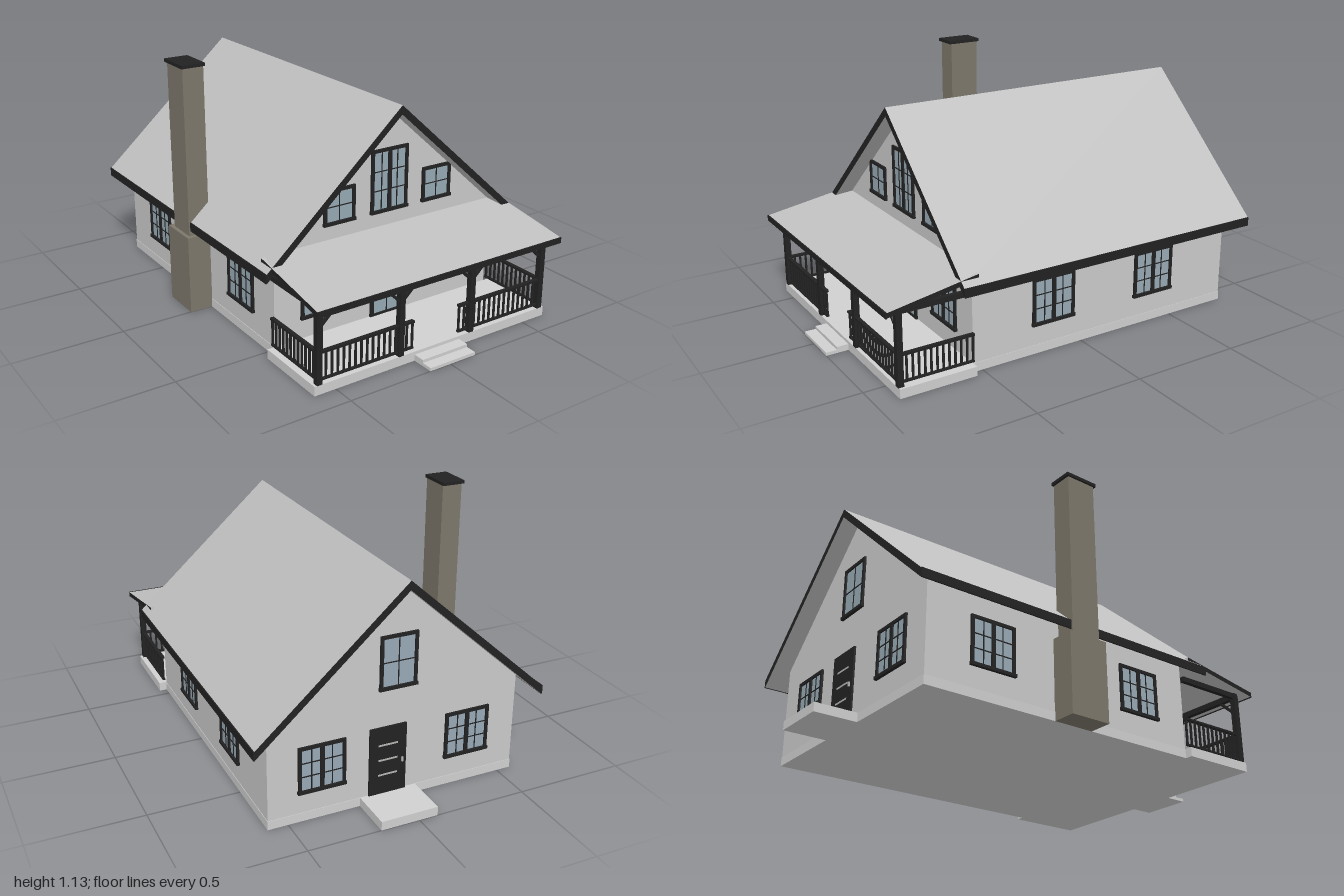
import * as THREE from 'three';

const mat = (name, color) => Object.assign(new THREE.MeshStandardMaterial({ color }), { name });

export function createModel() {
  const wall = mat('wall grey', 0xcacaca);
  const base = mat('concrete', 0xcfcfcf);
  const roof = mat('roof grey', 0xc0c0c0);
  const trim = mat('black trim', 0x222222);
  const glass = mat('window glass', 0x97a9b4);
  const stone = mat('chimney stone', 0x7d776a);
  const metal = mat('light metal', 0xb4b4b0);

  const house = new THREE.Group();
  house.name = 'house';
  const CX = 0.012, FRONT = 0.545, BACK = -0.805, HALF = 0.576;

  const group = (name, parent = house) => {
    const g = new THREE.Group();
    g.name = name;
    parent.add(g);
    return g;
  };
  // box given by its minimum and maximum on each axis
  const box = (name, m, x0, x1, y0, y1, z0, z1, parent = house) => {
    const b = new THREE.Mesh(new THREE.BoxGeometry(x1 - x0, y1 - y0, z1 - z0), m);
    b.position.set((x0 + x1) / 2, (y0 + y1) / 2, (z0 + z1) / 2);
    b.name = name;
    parent.add(b);
    return b;
  };
  const extrude = (name, m, points, depth) => {
    const shape = new THREE.Shape(points.map(p => new THREE.Vector2(...p)));
    const mesh = new THREE.Mesh(new THREE.ExtrudeGeometry(shape, { depth, bevelEnabled: false }), m);
    mesh.name = name;
    house.add(mesh);
    return mesh;
  };

  // foundation, porch floor and steps
  box('foundation', base, CX - HALF - 0.002, CX + HALF + 0.002, 0, 0.04, BACK - 0.002, FRONT);
  box('porchFloor', base, -0.6, 0.625, 0, 0.042, FRONT, 0.897);
  box('lowerStep', base, -0.105, 0.133, 0, 0.014, 0.897, 1);
  box('upperStep', base, -0.105, 0.133, 0.014, 0.028, 0.897, 0.95);
  box('backStep', base, -0.085, 0.175, 0, 0.04, -1, BACK);

  // walls with gables
  const slope = 0.894, peak = 1.01, thick = 0.04, eave = 0.656;
  const under = x => peak - thick - slope * x + 0.002;
  extrude('walls', wall, [[-HALF, 0.04], [HALF, 0.04], [HALF, under(HALF)], [0, under(0)], [-HALF, under(HALF)]],
    FRONT - BACK).position.set(CX, 0, BACK);

  // main roof with dark verges and eave boards
  const edge = peak - slope * eave;
  extrude('mainRoof', [trim, roof], [[-eave, edge - thick], [0, peak - thick], [eave, edge - thick],
    [eave, edge], [0, peak], [-eave, edge]], 1.51).position.set(CX, 0, -0.885);
  for (const s of [-1, 1]) {
    const x = CX + s * (eave + 0.002);
    box('eaveBoard', trim, x - 0.003, x + 0.003, edge - thick, edge, -0.885, 0.625);
  }

  // porch roof, profile drawn in z and y
  const porchRoof = extrude('porchRoof', [trim, roof],
    [[-0.95, 0.37], [-0.95, 0.392], [-0.545, 0.46], [-0.545, 0.438]], 1.266);
  porchRoof.rotation.y = Math.PI / 2;
  porchRoof.position.x = -0.622;
  box('porchFascia', trim, -0.622, 0.644, 0.367, 0.393, 0.949, 0.955);
  box('porchBeam', trim, CX - 0.6, CX + 0.6, 0.356, 0.382, 0.873, 0.897);

  // posts with diagonal braces
  const PZ = 0.885;
  const brace = (x, s) => {
    const b = new THREE.Mesh(new THREE.BoxGeometry(0.105, 0.012, 0.014), trim);
    b.name = 'postBrace';
    b.position.set(x + s * 0.045, 0.325, PZ);
    b.rotation.z = s * 0.75;
    house.add(b);
  };
  for (const x of [-0.588, -0.187, 0.187, 0.588]) {
    box('porchPost', trim, CX + x - 0.013, CX + x + 0.013, 0.042, 0.36, PZ - 0.013, PZ + 0.013);
    if (x > -0.5) brace(CX + x, -1);
    if (x < 0.5) brace(CX + x, 1);
  }
  for (const s of [-1, 1]) {
    const x = CX + s * 0.588;
    box('sideBeam', trim, x - 0.01, x + 0.01, 0.356, 0.38, FRONT, PZ);
  }

  // railing running along x from its group's origin
  const railing = (length, x, z, turn) => {
    const g = group('railing');
    box('topRail', trim, 0, length, 0.174, 0.184, -0.009, 0.009, g);
    box('bottomRail', trim, 0, length, 0.055, 0.063, -0.006, 0.006, g);
    const n = Math.round(length / 0.029);
    for (let i = 0; i <= n; i++) {
      const p = 0.005 + (length - 0.01) * i / n;
      box('baluster', trim, p - 0.004, p + 0.004, 0.06, 0.176, -0.004, 0.004, g);
    }
    g.position.set(x, 0, z);
    g.rotation.y = turn;
  };
  railing(0.465, CX - 0.585, PZ, 0);
  railing(0.465, CX + 0.12, PZ, 0);
  for (const s of [-1, 1]) railing(PZ - FRONT, CX + s * 0.588, PZ, Math.PI / 2);

  // chimney
  box('chimneyBase', stone, -0.672, -0.555, 0, 0.36, -0.187, 0.003);
  box('chimneyStack', stone, -0.655, -0.556, 0.36, 1.12, -0.16, -0.018);
  box('chimneyCap', trim, -0.663, -0.553, 1.12, 1.135, -0.17, -0.008);

  // window facing +z: sashes side by side, each split into panes
  const windowUnit = (name, w, h, sashes, cols, rows) => {
    const g = group(name), f = 0.014, t = 0.01;
    box('glass', glass, -w / 2 + 0.004, w / 2 - 0.004, 0.004, h - 0.004, -0.002, 0.003, g);
    for (const s of [-1, 1]) {
      const x = s * (w - f) / 2;
      box('frameSide', trim, x - f / 2, x + f / 2, 0, h, -0.002, t, g);
    }
    box('frameTop', trim, -w / 2, w / 2, h - f, h, -0.002, t, g);
    box('sill', trim, -w / 2 - 0.003, w / 2 + 0.003, 0, f, -0.002, t + 0.004, g);
    const n = sashes * cols;
    for (let i = 1; i < n; i++) {
      const x = -w / 2 + f + (w - 2 * f) * i / n, half = i % cols ? 0.002 : 0.009;
      box('mullion', trim, x - half, x + half, f, h - f, -0.002, i % cols ? 0.006 : t, g);
    }
    for (let j = 1; j < rows; j++) {
      const y = f + (h - 2 * f) * j / rows;
      box('muntin', trim, -w / 2 + f, w / 2 - f, y - 0.002, y + 0.002, -0.002, 0.006, g);
    }
    return g;
  };
  const place = (g, x, y, z, turn = 0) => {
    g.position.set(x, y, z);
    g.rotation.y = turn;
  };

  // front and back windows
  place(windowUnit('upperFrontWindow', 0.192, 0.285, 2, 2, 3), CX, 0.525, FRONT);
  place(windowUnit('upperBackWindow', 0.17, 0.24, 1, 2, 2), CX, 0.52, BACK, Math.PI);
  for (const s of [-1, 1]) {
    place(windowUnit('smallFrontWindow', 0.157, 0.158, 1, 2, 2), CX + s * 0.257, 0.525, FRONT);
    place(windowUnit('lowerFrontWindow', 0.211, 0.213, 2, 2, 3), CX + s * 0.342, 0.132, FRONT);
    place(windowUnit('lowerBackWindow', 0.211, 0.213, 2, 2, 3), CX + s * 0.338, 0.132, BACK, Math.PI);
  }
  // side windows
  for (const z of [0.147, -0.393])
    place(windowUnit('rightSideWindow', 0.213, 0.216, 2, 2, 3), CX + HALF, 0.132, z, Math.PI / 2);
  for (const z of [0.278, -0.495])
    place(windowUnit('leftSideWindow', 0.213, 0.216, 2, 2, 3), CX - HALF, 0.132, z, -Math.PI / 2);

  // glazed front door
  const door = group('frontDoor');
  box('glass', glass, -0.085, 0.085, 0.002, 0.31, -0.002, 0.003, door);
  for (const s of [-1, 1]) box('stile', trim, s * 0.081 - 0.009, s * 0.081 + 0.009, 0, 0.314, -0.002, 0.01, door);
  for (const [y, h] of [[0.005, 0.005], [0.08, 0.004], [0.154, 0.004], [0.227, 0.004], [0.304, 0.01]])
    box('rail', trim, -0.08, 0.08, y - h, y + h, -0.002, 0.009, door);
  box('centreBar', trim, -0.002, 0.002, 0, 0.31, -0.002, 0.006, door);
  box('handle', metal, -0.066, -0.058, 0.115, 0.127, 0.002, 0.012, door);
  place(door, CX, 0.042, FRONT);

  // dark back door with three glass slits
  const backDoor = group('backDoor');
  box('panel', trim, -0.085, 0.085, 0, 0.312, -0.002, 0.009, backDoor);
  for (const y of [0.09, 0.16, 0.23]) box('slit', metal, -0.045, 0.045, y - 0.004, y + 0.004, 0.008, 0.0105, backDoor);
  box('handle', metal, 0.062, 0.07, 0.135, 0.155, 0.008, 0.016, backDoor);
  place(backDoor, 0.052, 0.04, BACK, Math.PI);

  // wall lanterns beside the front door
  for (const s of [-1, 1]) {
    const x = CX + s * 0.127;
    box('lantern', trim, x - 0.008, x + 0.008, 0.31, 0.335, FRONT + 0.004, FRONT + 0.02);
    box('lanternArm', trim, x - 0.004, x + 0.004, 0.335, 0.345, FRONT - 0.002, FRONT + 0.014);
  }
  return house;
}
